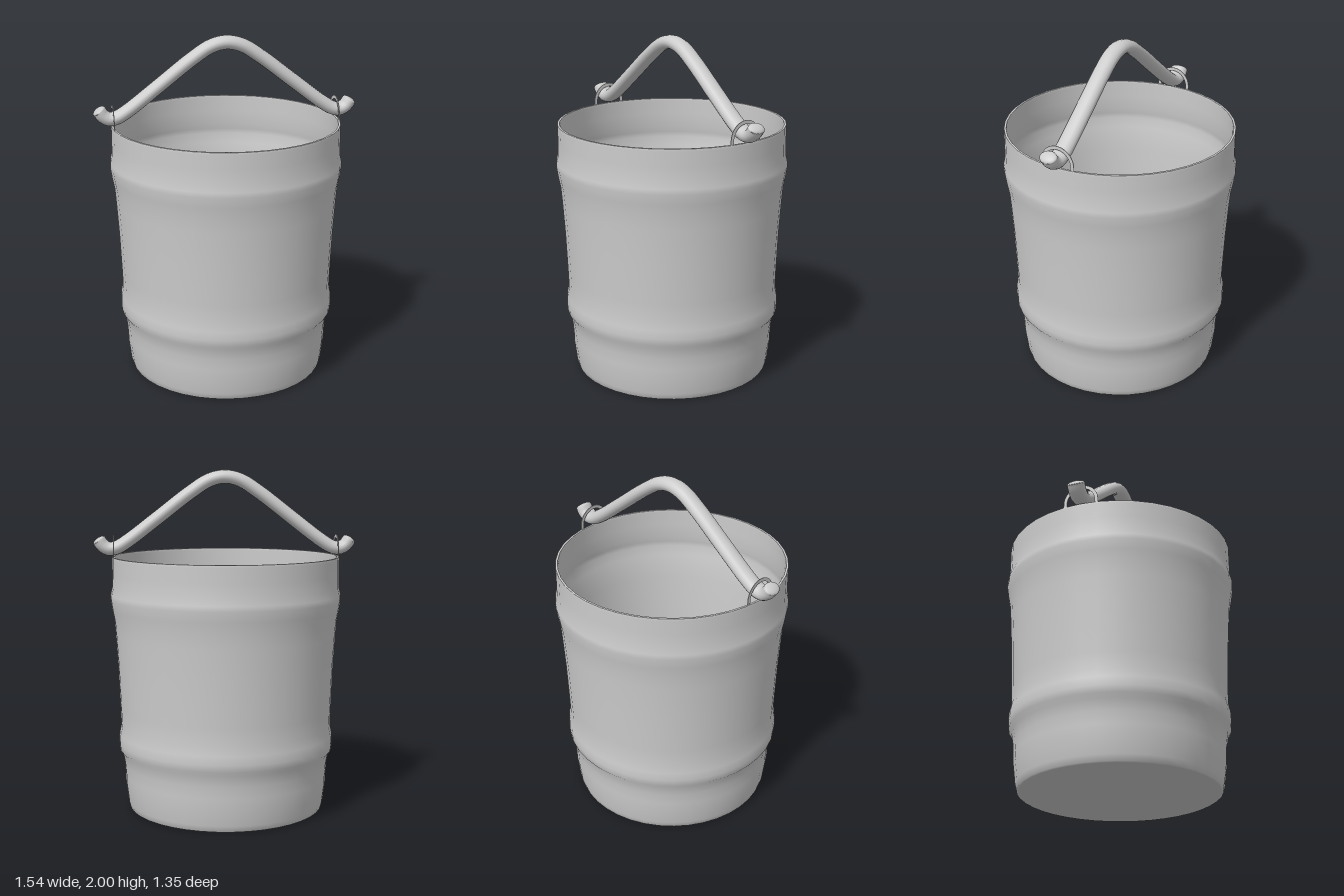
import * as THREE from 'three';

const material = new THREE.MeshStandardMaterial({ color: 0xcccccc, side: THREE.DoubleSide });

function addMesh(parent, name, geometry) {
  const mesh = new THREE.Mesh(geometry, material);
  mesh.name = name;
  parent.add(mesh);
  return mesh;
}

// Outer wall as [radius, height], with two swollen bands
const wall = [
  [0.575, 0.005], [0.585, 0.04], [0.592, 0.1], [0.6, 0.16], [0.6, 0.2], [0.605, 0.27],
  [0.616, 0.335], [0.633, 0.36], [0.636, 0.4], [0.634, 0.45], [0.623, 0.5], [0.626, 0.6],
  [0.636, 0.85], [0.648, 1.04], [0.655, 1.13], [0.667, 1.19], [0.676, 1.25], [0.675, 1.28],
  [0.665, 1.32], [0.664, 1.4], [0.664, 1.485],
];

function bucketGeometry() {
  const thickness = 0.014;
  const inner = wall.slice(1).reverse().map(([r, y]) => [r - thickness, y]);
  const profile = [
    [0, 0], [0.3, 0], [0.565, 0], ...wall,
    [0.664, 1.498], [0.662, 1.5], [0.652, 1.5], [0.65, 1.498],
    ...inner, [0.56, 0.025], [0.3, 0.02], [0, 0.02],
  ];
  return new THREE.LatheGeometry(profile.map(([r, y]) => new THREE.Vector2(r, y)), 40);
}

// Thin flat arch that holds one end of the handle
function earGeometry() {
  const base = 1.52, foot = 1.46, outer = 0.103, inner = 0.083;
  const shape = new THREE.Shape();
  shape.moveTo(outer, foot);
  shape.lineTo(outer, base);
  shape.absarc(0, base, outer, 0, Math.PI, false);
  shape.lineTo(-outer, foot);
  shape.lineTo(-inner, foot);
  shape.lineTo(-inner, base);
  shape.absarc(0, base, inner, Math.PI, 0, true);
  shape.lineTo(inner, foot);
  const geometry = new THREE.ExtrudeGeometry(shape, { depth: 0.004, bevelEnabled: false, curveSegments: 16 });
  return geometry.translate(0, 0, -0.002).rotateY(Math.PI / 2);
}

export function createModel() {
  const model = new THREE.Group();
  model.name = 'bucket';
  addMesh(model, 'bucketBody', bucketGeometry()).position.set(-0.004, 0, -0.004);

  // Arched handle with upturned hooks, oval in section
  const half = [
    [0.09, 1.94], [0.2, 1.871], [0.4, 1.717], [0.57, 1.588],
    [0.635, 1.55], [0.678, 1.544], [0.712, 1.563], [0.733, 1.592],
  ];
  const points = [
    ...half.slice().reverse().map(([x, y]) => new THREE.Vector3(-x, y, 0)),
    new THREE.Vector3(0, 1.96, 0),
    ...half.map(([x, y]) => new THREE.Vector3(x, y, 0)),
  ];
  const handle = new THREE.Group();
  handle.name = 'handle';
  handle.scale.z = 1.3;
  handle.position.z = -0.004;
  model.add(handle);
  addMesh(handle, 'handleBar', new THREE.TubeGeometry(new THREE.CatmullRomCurve3(points), 96, 0.04, 16));

  for (const side of [1, -1]) {
    const name = side > 0 ? 'left' : 'right';
    // Low rounded cap closing the hook
    const cap = addMesh(handle, name + 'HookEnd',
      new THREE.SphereGeometry(0.04, 16, 6, 0, Math.PI * 2, 0, Math.PI / 2));
    cap.scale.y = 0.45;
    cap.position.set(side * 0.733, 1.592, 0);
    cap.rotation.z = -side * 0.6;

    const ear = addMesh(model, name + 'Ear', earGeometry());
    ear.position.set(side * 0.653 - 0.004, 0, -0.004);
  }
  return model;
}
